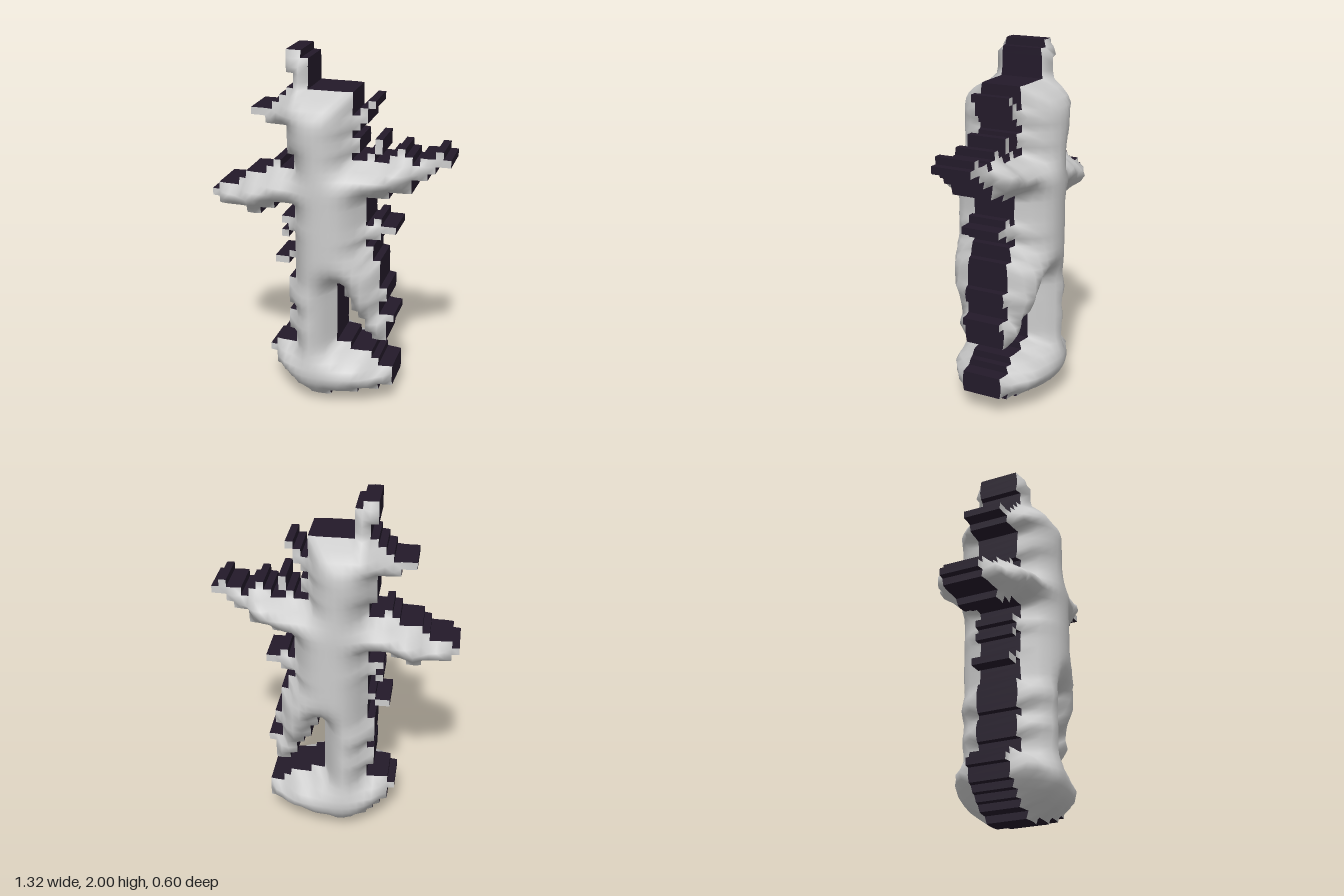
import * as THREE from 'three';

// Stepped outline of each part: boxes [x0, y0, x1, y1] in grid cells
const CELL = 0.04, W = 33, H = 50;
const PARTS = {
  base: [[14, 0, 17, 1], [12, 1, 21, 2], [11, 2, 24, 3], [10, 3, 26, 4], [9, 4, 26, 6],
    [8, 6, 24, 7], [9, 7, 23, 8], [12, 8, 20, 9]],
  standingLeg: [[12, 9, 18, 19], [11, 10, 18, 13], [11, 14, 18, 18]],
  raisedLeg: [[23, 10, 25, 11], [22, 11, 25, 13], [21, 13, 26, 14], [20, 14, 24, 16], [19, 16, 25, 18]],
  torso: [[12, 18, 24, 22], [12, 22, 23, 24], [12, 24, 22, 32], [12, 32, 20, 36]],
  sideTufts: [[9, 20, 11, 21], [11, 21, 12, 22], [10, 24, 11, 25], [11, 25, 12, 26], [10, 26, 12, 27],
    [22, 25, 24, 26], [22, 26, 26, 27], [23, 27, 24, 28]],
  leftArm: [[20, 31, 25, 32], [20, 32, 28, 34], [20, 34, 30, 35], [20, 35, 31, 36], [25, 36, 28, 37],
    [29, 36, 33, 37], [26, 37, 27, 38], [31, 37, 32, 38], [22, 36, 23, 37], [23, 37, 24, 39]],
  rightArm: [[5, 27, 7, 28], [1, 28, 9, 29], [0, 29, 12, 30], [1, 30, 12, 31], [4, 31, 12, 32],
    [5, 32, 12, 33], [8, 33, 12, 34], [9, 34, 10, 35]],
  head: [[12, 35, 20, 36], [11, 36, 20, 45], [20, 37, 21, 39], [20, 40, 21, 41]],
  headTufts: [[8, 40, 11, 41], [6, 41, 11, 42], [9, 42, 11, 43], [10, 43, 11, 44],
    [20, 41, 22, 42], [21, 42, 22, 43], [22, 43, 23, 44]],
  ear: [[12, 45, 14, 47], [11, 47, 14, 49], [11, 49, 13, 50]],
};

export function createModel() {
  const cells = new Set();
  const key = (x, y) => y * 100 + x;
  for (const boxes of Object.values(PARTS))
    for (const [x0, y0, x1, y1] of boxes)
      for (let y = y0; y < y1; y++) for (let x = x0; x < x1; x++) cells.add(key(x, y));
  const filled = (x, y) => x >= 0 && y >= 0 && x < W && y < H && cells.has(key(x, y));

  const empty = [];
  for (let y = -1; y <= H; y++) for (let x = -1; x <= W; x++) if (!filled(x, y)) empty.push([x, y]);

  // Half depth at each corner grows with the distance from the outline
  let depth = new Map();
  for (let y = 0; y <= H; y++) for (let x = 0; x <= W; x++) {
    if (!(filled(x, y) || filled(x - 1, y) || filled(x, y - 1) || filled(x - 1, y - 1))) continue;
    let d = Infinity;
    for (const [ex, ey] of empty)
      d = Math.min(d, Math.hypot(Math.max(ex - x, 0, x - ex - 1), Math.max(ey - y, 0, y - ey - 1)));
    const t = Math.min(1, (d * CELL) / 0.17);
    depth.set(key(x, y), 0.11 + 0.19 * Math.sin((Math.PI / 2) * t ** 0.7));
  }
  // Soften the swelling; the outline itself follows less
  for (let pass = 0; pass < 3; pass++) {
    const next = new Map();
    for (const [k, v] of depth) {
      let sum = 0, n = 0;
      for (const o of [1, -1, 100, -100]) if (depth.has(k + o)) { sum += depth.get(k + o); n++; }
      const x = k % 100, y = Math.floor(k / 100);
      const inside = filled(x, y) && filled(x - 1, y) && filled(x, y - 1) && filled(x - 1, y - 1);
      next.set(k, THREE.MathUtils.lerp(v, sum / n, inside ? 0.4 : 0.1));
    }
    depth = next;
  }

  const point = (x, y, side) => [x * CELL - 0.66, y * CELL, side * depth.get(key(x, y))];
  const group = new THREE.Group();
  const addMesh = (name, positions, index, material) => {
    const g = new THREE.BufferGeometry();
    g.setAttribute('position', new THREE.Float32BufferAttribute(positions, 3));
    g.setIndex(index);
    g.computeVertexNormals();
    const mesh = new THREE.Mesh(g, material);
    mesh.name = name;
    group.add(mesh);
  };

  // Swollen front and back skins
  const skin = new THREE.MeshStandardMaterial({ color: 0xcccccc });
  for (const side of [1, -1]) {
    const pos = [], idx = [], ids = new Map();
    for (const k of depth.keys()) {
      ids.set(k, ids.size);
      pos.push(...point(k % 100, Math.floor(k / 100), side));
    }
    for (const k of cells) {
      const [a, b, c, d] = [k, k + 1, k + 101, k + 100].map((i) => ids.get(i));
      if (side > 0) idx.push(a, b, c, a, c, d);
      else idx.push(a, c, b, a, d, c);
    }
    addMesh(side > 0 ? 'frontSkin' : 'backSkin', pos, idx, skin);
  }

  // Dark stepped rim joining the two skins
  const pos = [], idx = [];
  const wall = (x0, y0, x1, y1) => {
    const n = pos.length / 3;
    pos.push(...point(x0, y0, 1), ...point(x0, y0, -1), ...point(x1, y1, -1), ...point(x1, y1, 1));
    idx.push(n, n + 1, n + 2, n, n + 2, n + 3);
  };
  for (const k of cells) {
    const x = k % 100, y = Math.floor(k / 100);
    if (!filled(x, y - 1)) wall(x, y, x + 1, y);
    if (!filled(x + 1, y)) wall(x + 1, y, x + 1, y + 1);
    if (!filled(x, y + 1)) wall(x + 1, y + 1, x, y + 1);
    if (!filled(x - 1, y)) wall(x, y + 1, x, y);
  }
  addMesh('rim', pos, idx, new THREE.MeshStandardMaterial({ color: 0x231a2a, side: THREE.DoubleSide }));
  return group;
}
